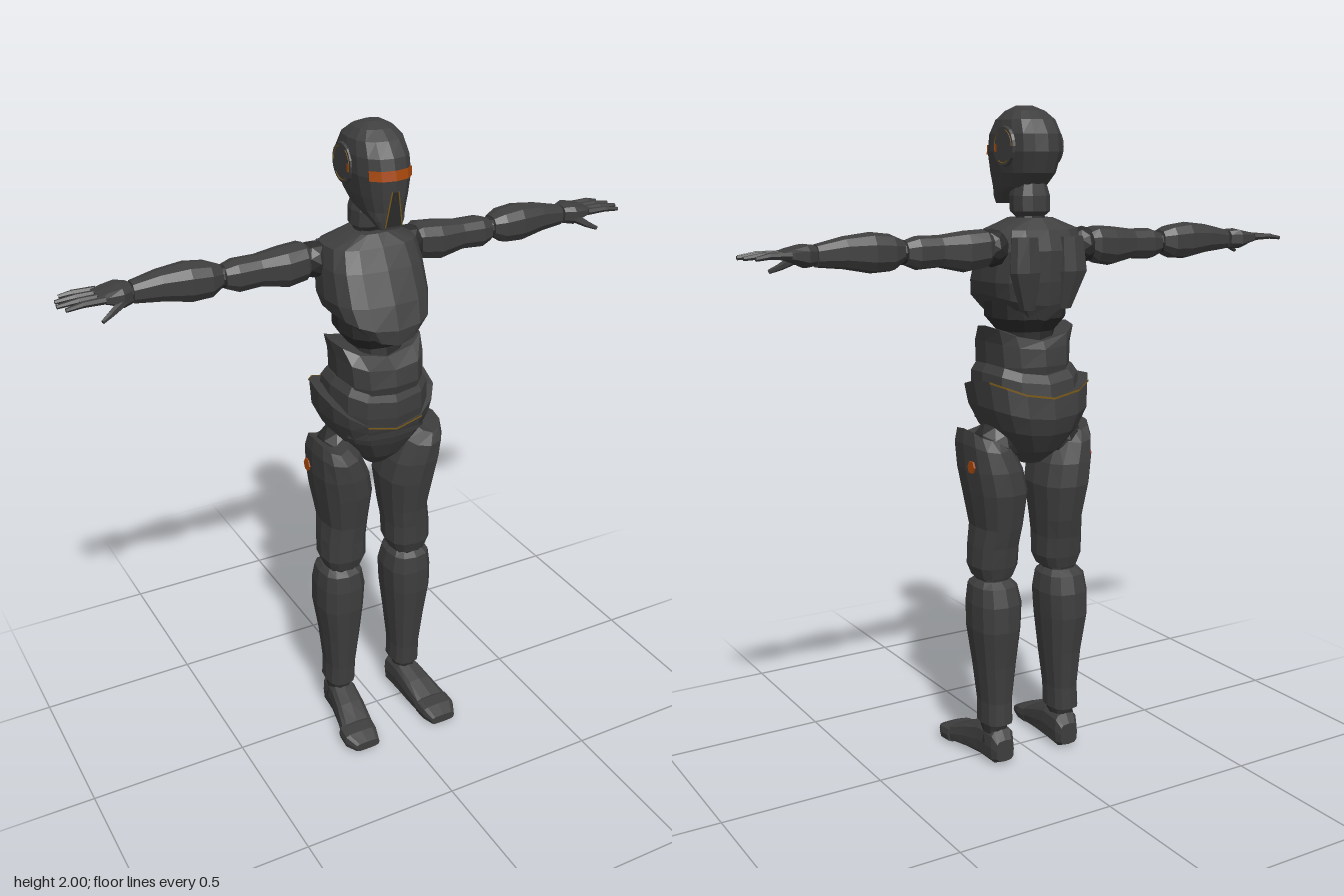
import * as THREE from 'three';

const mat = (name, color, extra = {}) => Object.assign(new THREE.MeshStandardMaterial({ color, flatShading: true, ...extra }), { name });

// Point of a rounded-box section. Ring: [y, x0, x1, z0, z1, dip (sides raised), tilt (front raised)]
function sectionPoint(r, a, p, out = 0) {
  const [y, x0, x1, z0, z1, dip = 0, tilt = 0] = r;
  const pw = (v) => (Math.abs(v) < 1e-6 ? 0 : Math.sign(v) * Math.abs(v) ** p);
  const c = pw(Math.cos(a)), s = pw(Math.sin(a));
  return [(x0 + x1) / 2 + c * ((x1 - x0) / 2 + out), y + dip * c * c + tilt * s, (z0 + z1) / 2 + s * ((z1 - z0) / 2 + out)];
}

function fromTriangles(pos) {
  const g = new THREE.BufferGeometry();
  g.setAttribute('position', new THREE.Float32BufferAttribute(pos, 3));
  g.computeVertexNormals();
  return g;
}

// Closed solid through a stack of sections, lowest first
function loft(rings, n = 12, p = 0.75) {
  const pos = [];
  const pt = (r, i) => sectionPoint(r, (i / n) * Math.PI * 2, p);
  const mid = (r) => [(r[1] + r[2]) / 2, r[0], (r[3] + r[4]) / 2];
  const last = rings[rings.length - 1];
  for (let i = 0; i < n; i++) {
    for (let k = 0; k + 1 < rings.length; k++) {
      const a = pt(rings[k], i), b = pt(rings[k], i + 1), c = pt(rings[k + 1], i), d = pt(rings[k + 1], i + 1);
      pos.push(...a, ...c, ...b, ...b, ...c, ...d);
    }
    pos.push(...mid(rings[0]), ...pt(rings[0], i), ...pt(rings[0], i + 1));
    pos.push(...mid(last), ...pt(last, i + 1), ...pt(last, i));
  }
  return fromTriangles(pos);
}

// Thin painted strip lying on a section, from step i0 to i1 of n
function band(lo, hi, i0, i1, n, p, out = 0.003) {
  const pos = [];
  for (let i = i0; i < i1; i++) {
    const [a, b, c, d] = [[lo, i], [lo, i + 1], [hi, i], [hi, i + 1]].map(([r, k]) => sectionPoint(r, (k / n) * Math.PI * 2, p, out));
    pos.push(...a, ...c, ...b, ...b, ...c, ...d);
  }
  return fromTriangles(pos);
}

// Symmetric ring and rings along x or z, given as [along, low, high, side0, side1]
const sym = (y, w, z0, z1, ...rest) => [y, -w, w, z0, z1, ...rest];
const alongX = (rows, n, p) => loft(rows.map(([x, y0, y1, z0, z1]) => [x, -y1, -y0, z0, z1]), n, p).rotateZ(-Math.PI / 2);
const alongZ = (rows, n, p) => loft(rows.map(([z, y0, y1, x0, x1]) => [z, x0, x1, -y1, -y0]), n, p).rotateX(Math.PI / 2);
const ball = (r, x, y, z) => new THREE.IcosahedronGeometry(r, 1).translate(x, y, z);

function rod(a, b, r0, r1) {
  const A = new THREE.Vector3(...a), d = new THREE.Vector3(...b).sub(A), len = d.length();
  return new THREE.CylinderGeometry(r1, r0, len, 6).translate(0, len / 2, 0)
    .applyQuaternion(new THREE.Quaternion().setFromUnitVectors(new THREE.Vector3(0, 1, 0), d.normalize()))
    .translate(...a);
}

function mirrored(geo) {
  const g = geo.index ? geo.toNonIndexed() : geo.clone();
  const v = g.attributes.position.array;
  for (let i = 0; i < v.length; i += 9) {
    for (let k = 0; k < 9; k += 3) v[i + k] *= -1;
    for (let k = 3; k < 6; k++) [v[i + k], v[i + k + 3]] = [v[i + k + 3], v[i + k]];
  }
  g.computeVertexNormals();
  return g;
}

export function createModel() {
  const model = new THREE.Group();
  model.name = 'humanoidRobot';
  const shell = mat('dark shell', 0x3e3e3e);
  const joint = mat('joint black', 0x2b2b2b);
  const orange = mat('orange light', 0xa8480c, { side: THREE.DoubleSide });
  const gold = mat('gold trim', 0x7a5a18, { side: THREE.DoubleSide });

  const add = (name, geo, material) => {
    const m = new THREE.Mesh(geo, material);
    m.name = name;
    model.add(m);
  };
  const pair = (name, geo, material) => {
    add('left' + name, geo, material);
    add('right' + name, mirrored(geo), material);
  };

  // Head: smooth helmet with a forward chin
  add('head', loft([
    sym(1.72, 0.035, 0.06, 0.095), sym(1.745, 0.05, 0.015, 0.1), sym(1.77, 0.062, -0.09, 0.103),
    sym(1.81, 0.074, -0.135, 0.108), sym(1.87, 0.085, -0.155, 0.112), sym(1.92, 0.085, -0.15, 0.1),
    sym(1.96, 0.077, -0.122, 0.068), sym(1.985, 0.055, -0.085, 0.035), sym(2.0, 0.025, -0.045, 0),
  ], 16, 0.8), shell);
  add('visor', band(sym(1.862, 0.085, -0.155, 0.112), sym(1.89, 0.085, -0.153, 0.108), 2, 6, 16, 0.8), orange);

  // Chin plate with thin trim lines
  const plate = new THREE.Shape([[-0.01, 0.1], [-0.026, 0], [0.026, 0], [0.01, 0.1]].map(([x, y]) => new THREE.Vector2(x, y)));
  add('chinPlate', new THREE.ExtrudeGeometry(plate, { depth: 0.006, bevelEnabled: false })
    .rotateX(0.09).translate(0, 1.73, 0.0945), joint);
  pair('ChinTrim', rod([0.026, 1.73, 0.1], [0.01, 1.83, 0.11], 0.002, 0.002), gold);

  // Ear discs with broken light rings
  pair('EarDisc', new THREE.CylinderGeometry(0.055, 0.058, 0.008, 20).rotateZ(-Math.PI / 2).translate(0.083, 1.885, -0.045), shell);
  for (let i = 0; i < 3; i++) {
    pair('EarLight' + i, new THREE.TorusGeometry(0.047, 0.0016, 4, 8, 1.3)
      .rotateZ(i * 2.1).rotateY(Math.PI / 2).translate(0.087, 1.885, -0.045), gold);
  }
  pair('EarDot', new THREE.BoxGeometry(0.004, 0.022, 0.012).translate(0.086, 1.88, -0.005), orange);

  // Neck
  add('neck', loft([sym(1.64, 0.05, -0.1, -0.01), sym(1.69, 0.04, -0.092, -0.018)], 10), joint);
  add('neckCollar', loft([sym(1.685, 0.04, -0.09, -0.015), sym(1.7, 0.055, -0.108, 0), sym(1.745, 0.055, -0.108, 0.005), sym(1.78, 0.045, -0.1, 0)], 10), shell);

  // Torso stack
  add('chest', loft([
    sym(1.385, 0.1, -0.14, 0.135, 0.045), sym(1.43, 0.142, -0.158, 0.136, 0.03), sym(1.5, 0.155, -0.168, 0.112),
    sym(1.59, 0.152, -0.172, 0.07), sym(1.65, 0.14, -0.155, 0.038), sym(1.682, 0.06, -0.12, 0.008),
  ], 16, 0.68), shell);
  pair('ShoulderBlade', loft([
    [1.42, 0.04, 0.085, -0.158, -0.12], [1.53, 0.03, 0.13, -0.184, -0.13], [1.63, 0.035, 0.12, -0.175, -0.12],
  ], 8, 0.7), shell);
  add('abdomen', loft([sym(1.3, 0.08, -0.11, 0.07), sym(1.35, 0.08, -0.11, 0.06), sym(1.39, 0.112, -0.14, 0.09), sym(1.45, 0.115, -0.14, 0.09)], 12), joint);
  add('waist', loft([sym(1.21, 0.118, -0.14, 0.115), sym(1.25, 0.125, -0.148, 0.127), sym(1.3, 0.13, -0.142, 0.118, 0.02), sym(1.325, 0.142, -0.13, 0.07, 0.045)], 12, 0.68), shell);
  add('belly', loft([sym(1.08, 0.14, -0.17, 0.115), sym(1.15, 0.148, -0.178, 0.128, 0.02), sym(1.2, 0.146, -0.17, 0.128, 0.03), sym(1.225, 0.13, -0.155, 0.118, 0.03)], 12, 0.7), shell);
  const rim = (y) => sym(y, 0.182, -0.192, 0.124, 0.07, -0.025);
  add('pelvis', loft([
    sym(0.95, 0.035, -0.09, 0.02), sym(0.995, 0.08, -0.15, 0.07), sym(1.05, 0.14, -0.185, 0.1, 0.02),
    sym(1.1, 0.172, -0.2, 0.118, 0.035), rim(1.14),
  ], 16, 0.75), shell);
  add('frontBeltTrim', band(rim(1.135), rim(1.141), 3, 5, 16, 0.75), gold);
  add('backBeltTrim', band(rim(1.135), rim(1.141), 9, 15, 16, 0.75), gold);

  // Legs
  pair('HipJoint', ball(0.075, 0.11, 1.01, -0.04), joint);
  pair('Thigh', loft([
    [0.6, 0.06, 0.175, -0.09, 0.04], [0.635, 0.045, 0.188, -0.1, 0.052], [0.7, 0.045, 0.185, -0.11, 0.055],
    [0.76, 0.038, 0.178, -0.125, 0.06], [0.87, 0.026, 0.197, -0.145, 0.08], [0.94, 0.04, 0.208, -0.14, 0.088],
    [1.0, 0.075, 0.212, -0.125, 0.088, 0.02], [1.035, 0.11, 0.206, -0.1, 0.07, 0.03],
  ], 12, 0.75), shell);
  pair('ThighLight', new THREE.CylinderGeometry(0.02, 0.02, 0.006, 6).rotateZ(-Math.PI / 2 + 0.05).translate(0.208, 0.955, -0.062), orange);
  pair('KneeJoint', loft([[0.54, 0.07, 0.17, -0.09, 0.02], [0.62, 0.07, 0.17, -0.08, 0.03]], 10), joint);
  pair('Shin', loft([
    [0.13, 0.075, 0.17, -0.108, 0.015], [0.2, 0.075, 0.168, -0.105, 0.02], [0.32, 0.062, 0.18, -0.115, 0.035],
    [0.44, 0.05, 0.197, -0.132, 0.05], [0.52, 0.045, 0.197, -0.13, 0.052], [0.575, 0.055, 0.19, -0.115, 0.045], [0.592, 0.07, 0.175, -0.09, 0.02],
  ], 12, 0.75), shell);
  pair('AnkleJoint', loft([[0.06, 0.085, 0.165, -0.09, 0.005], [0.15, 0.09, 0.155, -0.085, 0]], 10), joint);

  // Feet, turned slightly outward
  pair('Foot', alongZ([
    [-0.105, 0.01, 0.08, 0.088, 0.15], [-0.085, 0, 0.11, 0.078, 0.16], [-0.01, 0.005, 0.115, 0.078, 0.168],
    [0.06, 0.005, 0.09, 0.08, 0.182], [0.125, 0.003, 0.062, 0.085, 0.198],
  ], 12, 0.55), shell);
  pair('Toe', alongZ([[0.118, 0.002, 0.058, 0.084, 0.203], [0.165, 0, 0.052, 0.088, 0.205], [0.205, 0.006, 0.035, 0.1, 0.185]], 12, 0.5), shell);

  // Arms held straight out
  pair('ShoulderJoint', ball(0.055, 0.155, 1.6, -0.095), joint);
  pair('UpperArm', alongX([
    [0.165, 1.57, 1.64, -0.14, -0.06], [0.19, 1.545, 1.655, -0.158, -0.045], [0.25, 1.535, 1.652, -0.155, -0.04],
    [0.33, 1.552, 1.642, -0.14, -0.05], [0.4, 1.548, 1.642, -0.14, -0.048], [0.435, 1.562, 1.63, -0.13, -0.06],
  ], 10), shell);
  pair('ElbowJoint', ball(0.035, 0.44, 1.598, -0.095), joint);
  pair('Forearm', alongX([
    [0.445, 1.57, 1.635, -0.13, -0.06], [0.48, 1.548, 1.65, -0.148, -0.045], [0.54, 1.545, 1.657, -0.152, -0.042],
    [0.62, 1.56, 1.648, -0.142, -0.055], [0.7, 1.568, 1.63, -0.13, -0.068],
  ], 10), shell);
  pair('Wrist', alongX([[0.69, 1.58, 1.62, -0.12, -0.075], [0.72, 1.58, 1.62, -0.12, -0.075]], 8), joint);
  pair('Palm', alongX([
    [0.705, 1.572, 1.628, -0.135, -0.065], [0.735, 1.568, 1.632, -0.155, -0.045], [0.775, 1.585, 1.622, -0.155, -0.05], [0.8, 1.592, 1.614, -0.152, -0.056],
  ], 10, 0.65), shell);

  // Fingers: two jointed rods each, plus a lowered thumb
  [0.885, 0.905, 0.91, 0.895].forEach((tip, i) => {
    const z = -0.146 + i * 0.029, spread = (i - 1.5) * 0.003;
    pair('FingerBase' + i, rod([0.785, 1.605, z], [0.85, 1.606, z + spread], 0.011, 0.009), shell);
    pair('FingerTip' + i, rod([0.846, 1.606, z + spread], [tip, 1.6, z + spread * 2], 0.009, 0.006), shell);
  });
  pair('ThumbBase', rod([0.735, 1.592, -0.06], [0.775, 1.57, -0.045], 0.014, 0.01), shell);
  pair('ThumbTip', rod([0.772, 1.571, -0.046], [0.805, 1.556, -0.032], 0.01, 0.006), shell);

  return model;
}
